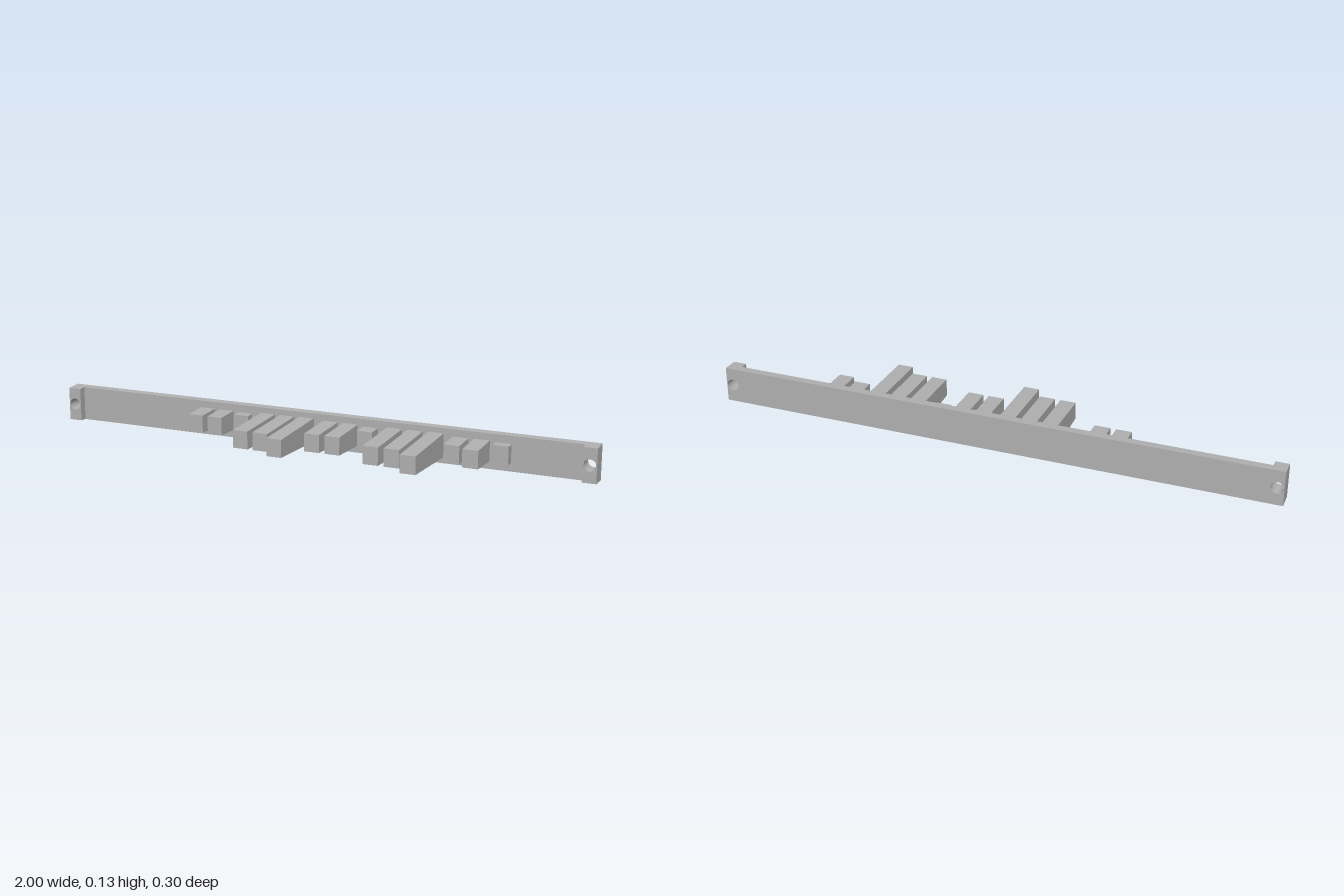
import * as THREE from 'three';

const MID_Y = 0.063;   // height of the centre line
const BACK = -0.149;   // rear face of the bar
const PLATE = -0.118;  // front face of the thin plate
const BLOCK = -0.09;   // front face of the end blocks
const HOLE_X = 0.976;
const HOLE_R = 0.021;

// Plate outline with round holes, extruded along z, outer edges drafted towards the front
function drilledSlab(x0, x1, z0, z1, holes) {
  const h = 0.063;
  const shape = new THREE.Shape([
    new THREE.Vector2(x0, -h), new THREE.Vector2(x1, -h),
    new THREE.Vector2(x1, h), new THREE.Vector2(x0, h),
  ]);
  for (const x of holes) {
    shape.holes.push(new THREE.Path().absarc(x, 0, HOLE_R, 0, Math.PI * 2, true));
  }
  const geo = new THREE.ExtrudeGeometry(shape, { depth: z1 - z0, bevelEnabled: false, curveSegments: 20 });
  geo.translate(0, 0, z0);
  const p = geo.attributes.position;
  for (let i = 0; i < p.count; i++) {
    const y = p.getY(i);
    if (Math.abs(y) > 0.05) p.setY(i, y - Math.sign(y) * 0.05 * (p.getZ(i) - BACK));
  }
  geo.translate(0, MID_Y, 0);
  geo.computeVertexNormals();
  return geo;
}

// Tooth with a fixed tip height, growing taller towards its root
function toothGeometry(tipZ) {
  const length = tipZ - PLATE;
  const geo = new THREE.BoxGeometry(0.055, 0.063, length);
  geo.translate(0, 0, PLATE + length / 2);
  const p = geo.attributes.position;
  for (let i = 0; i < p.count; i++) {
    const y = p.getY(i);
    p.setY(i, y + Math.sign(y) * 0.04 * (tipZ - p.getZ(i)));
  }
  geo.translate(0, MID_Y + 0.001, 0);
  geo.computeVertexNormals();
  return geo;
}

export function createModel() {
  const model = new THREE.Group();
  model.name = 'toothedBar';
  const grey = new THREE.MeshStandardMaterial({ color: 0xb0b0b0 });
  grey.name = 'grey';

  const add = (name, geo) => {
    const mesh = new THREE.Mesh(geo, grey);
    mesh.name = name;
    model.add(mesh);
    return mesh;
  };

  // Long back plate and the two drilled end blocks
  add('backPlate', drilledSlab(-1, 1, BACK, PLATE, [-HOLE_X, HOLE_X]));
  add('rightEndBlock', drilledSlab(-1, -0.952, PLATE, BLOCK, [-HOLE_X]));
  add('leftEndBlock', drilledSlab(0.952, 1, PLATE, BLOCK, [HOLE_X]));

  // Teeth in groups of three: start x of each group, and the tip z of each tooth
  const groups = [
    [-0.432, [-0.025, -0.025, -0.086]],
    [-0.192, [0.102, 0.102, 0.149]],
    [0.049, [0.042, 0.042, -0.065]],
    [0.288, [0.102, 0.102, 0.149]],
    [0.526, [-0.025, 0.003, -0.086]],
  ];
  for (const [x, tips] of groups) {
    tips.forEach((tip, i) => {
      add('tooth', toothGeometry(tip)).position.x = x + i * 0.075;
    });
  }
  return model;
}
